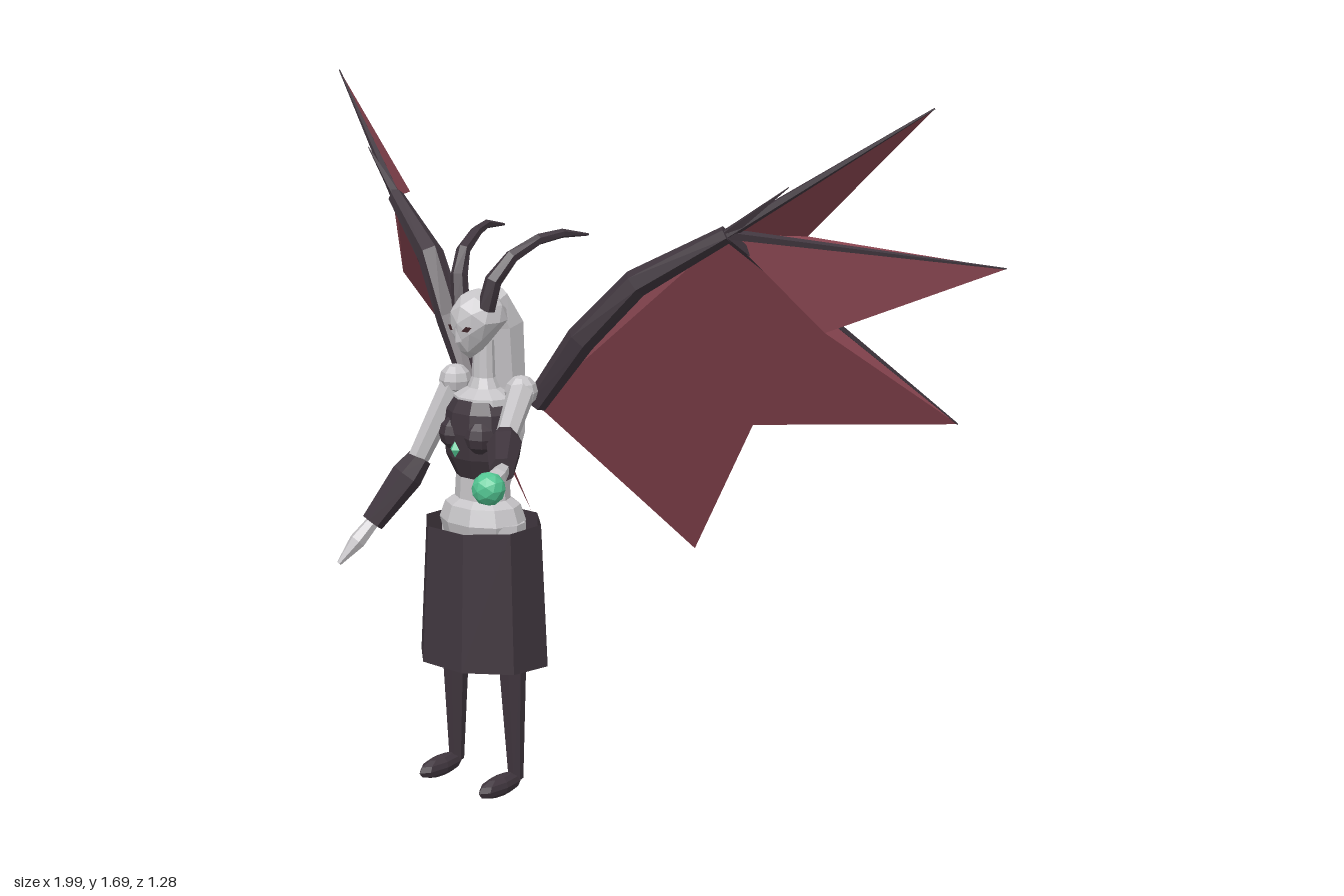
import * as THREE from 'three';

const mat = (name, color, double = false) => {
  const m = new THREE.MeshStandardMaterial({ color, flatShading: true });
  m.name = name;
  if (double) m.side = THREE.DoubleSide;
  return m;
};

// Tapered closed tube through points, one radius per point
function sweep(points, radii, sides = 7) {
  const P = points.map(p => new THREE.Vector3(...p)), pos = [], idx = [];
  P.forEach((p, k) => {
    const t = P[Math.min(k + 1, P.length - 1)].clone().sub(P[Math.max(k - 1, 0)]).normalize();
    const ref = Math.abs(t.x) > 0.9 ? new THREE.Vector3(0, 0, 1) : new THREE.Vector3(1, 0, 0);
    const u = ref.cross(t).normalize(), v = t.clone().cross(u);
    for (let i = 0; i < sides; i++) {
      const a = i / sides * Math.PI * 2;
      const q = p.clone().addScaledVector(u, radii[k] * Math.cos(a)).addScaledVector(v, radii[k] * Math.sin(a));
      pos.push(q.x, q.y, q.z);
    }
  });
  const last = (P.length - 1) * sides, c0 = P.length * sides;
  pos.push(...P[0].toArray(), ...P[P.length - 1].toArray());
  for (let i = 0; i < sides; i++) {
    const j = (i + 1) % sides;
    for (let k = 0; k < P.length - 1; k++) {
      const a = k * sides, b = a + sides;
      idx.push(a + i, a + j, b + j, a + i, b + j, b + i);
    }
    idx.push(c0, j, i, c0 + 1, last + i, last + j);
  }
  const g = new THREE.BufferGeometry();
  g.setAttribute('position', new THREE.Float32BufferAttribute(pos, 3));
  g.setIndex(idx);
  g.computeVertexNormals();
  return g;
}

export function createModel() {
  const model = new THREE.Group();
  const skin = mat('pale skin', 0xc6c4c7);
  const dark = mat('dark leather', 0x40363e);
  const cloth = mat('dark skirt cloth', 0x40363e, true);
  const membraneRed = mat('wing membrane red', 0x87444f, true);
  const green = mat('green gem', 0x52c592);
  const eyeDark = mat('dark eye', 0x3a2024, true);

  const add = (name, geo, m, x = 0, y = 0, z = 0, parent = model) => {
    const mesh = new THREE.Mesh(geo, m);
    mesh.name = name;
    mesh.position.set(x, y, z);
    parent.add(mesh);
    return mesh;
  };
  const lathe = (name, pts, m, z, depth, sides = 10) => {
    const g = new THREE.LatheGeometry(pts.map(p => new THREE.Vector2(...p)), sides, Math.PI / sides);
    g.scale(1, 1, depth);
    return add(name, g, m, 0, 0, z);
  };
  const ball = (r, w = 8, h = 6) => new THREE.SphereGeometry(r, w, h);

  // Torso and corset
  lathe('hips', [[0, 0.62], [0.1, 0.63], [0.115, 0.68], [0.1, 0.72], [0.074, 0.735], [0.07, 0.8], [0.05, 0.82]], skin, 0.15, 0.8);
  lathe('corset', [[0, 0.775], [0.066, 0.79], [0.092, 0.84], [0.097, 0.9], [0.09, 0.95], [0.07, 0.98], [0, 0.985]], dark, 0.155, 0.82);
  lathe('upperChest', [[0.085, 0.94], [0.078, 0.985], [0.042, 1.005], [0.03, 1.03], [0.027, 1.12]], skin, 0.145, 0.85);
  for (const x of [-0.04, 0.04]) add('bust', ball(0.043), dark, x, 0.895, 0.198);
  const brooch = add('brooch', new THREE.OctahedronGeometry(0.02), green, 0, 0.868, 0.247);
  brooch.scale.x = 0.75;
  brooch.scale.z = 0.6;

  // Head with narrow chin
  const headGeo = new THREE.IcosahedronGeometry(0.075, 1);
  const hp = headGeo.attributes.position;
  for (let i = 0; i < hp.count; i++) {
    const y = hp.getY(i), low = Math.max(0, -y / 0.075);
    hp.setXYZ(i, hp.getX(i) * (0.9 - 0.45 * low), y * (1 + 0.2 * low), hp.getZ(i) * (1 - 0.35 * low) + 0.03 * low);
  }
  headGeo.computeVertexNormals();
  add('head', headGeo, skin, 0, 1.17, 0.162);
  const nose = add('nose', new THREE.ConeGeometry(0.011, 0.035, 4), skin, 0, 1.145, 0.237);
  nose.rotation.x = 0.3;

  // Long hair down the back
  const hair = sweep([[0, 1.22, 0.11], [0, 1.15, 0.075], [0, 1.0, 0.06], [0, 0.88, 0.055], [0, 0.72, 0.085]],
    [0.035, 0.05, 0.045, 0.04, 0.015], 6);
  add('hair', hair, skin);

  // Open skirt with a slightly tilted hem
  const skirtGeo = new THREE.CylinderGeometry(0.149, 0.167, 0.352, 8, 1, true, Math.PI / 8);
  const sp = skirtGeo.attributes.position;
  for (let i = 0; i < sp.count; i++) {
    const z = sp.getZ(i) * 0.97;
    sp.setZ(i, z);
    if (sp.getY(i) < 0) sp.setY(i, sp.getY(i) + z * 0.08);
  }
  skirtGeo.computeVertexNormals();
  add('skirt', skirtGeo, cloth, 0, 0.499, 0.148);

  for (const s of [-1, 1]) {
    const side = new THREE.Group();
    side.name = s > 0 ? 'leftSide' : 'rightSide';
    model.add(side);
    const part = (name, pts, radii, m, sides) =>
      add(name, sweep(pts.map(([x, y, z]) => [x * s, y, z]), radii, sides), m, 0, 0, 0, side);

    // Eye plate
    const eye = add('eye', new THREE.CircleGeometry(0.014, 4), eyeDark, s * 0.026, 1.158, 0.232, side);
    eye.scale.y = 0.5;
    eye.rotation.set(0, s * 0.4, s * 0.35);

    // Horn
    part('horn', [[0.04, 1.2, 0.18], [0.055, 1.27, 0.17], [0.078, 1.325, 0.13], [0.1, 1.36, 0.06], [0.122, 1.37, 0], [0.135, 1.36, -0.08]],
      [0.022, 0.021, 0.017, 0.014, 0.011, 0.003], dark, 6);

    // Leg and pointed shoe
    part('thigh', [[0.07, 0.68, 0.15], [0.09, 0.37, 0.15]], [0.052, 0.036], skin);
    part('boot', [[0.09, 0.39, 0.15], [0.095, 0.32, 0.15], [0.1, 0.03, 0.143]], [0.038, 0.034, 0.019], dark);
    const shoe = add('shoe', ball(0.078), dark, s * 0.1, 0.028, 0.2, side);
    shoe.scale.set(0.32, 0.34, 1);

    // Wing bones
    const root = [0.1, 0.965, 0.07], elbow = [0.33, 1.27, -0.02], wrist = [0.53, 1.395, -0.1];
    const tips = [[0.94, 1.69, -0.3], [0.995, 1.31, -0.555], [0.84, 0.905, -0.636], [0.275, 0.548, -0.342]];
    const valleys = [[0.64, 1.383, -0.265], [0.685, 1.16, -0.28], [0.46, 0.9, -0.32]];
    part('wingArm', [root, [0.21, 1.13, 0.035], elbow, wrist], [0.028, 0.036, 0.034, 0.021], dark, 6);
    for (const tip of tips.slice(0, 3)) part('wingFinger', [wrist, tip], [0.014, 0.002], dark, 5);
    part('wingClaw', [wrist, [0.67, 1.51, -0.14]], [0.014, 0.001], dark, 4);

    // Wing membrane, a fan from the wrist
    const rim = [tips[0], valleys[0], tips[1], valleys[1], tips[2], valleys[2], tips[3], root, elbow];
    const verts = [];
    for (let i = 0; i < rim.length - 1; i++)
      for (const [x, y, z] of [wrist, rim[i], rim[i + 1]]) verts.push(x * s, y, z);
    const web = new THREE.BufferGeometry();
    web.setAttribute('position', new THREE.Float32BufferAttribute(verts, 3));
    web.computeVertexNormals();
    add('wingMembrane', web, membraneRed, 0, 0, 0, side);

    // Arm: the left one reaches forward, the right one hangs
    const [sh, el, wr, tip] = s > 0
      ? [[0.107, 1.005, 0.13], [0.235, 0.94, 0.33], [0.37, 0.925, 0.49], [0.42, 0.917, 0.58]]
      : [[0.107, 1.005, 0.13], [0.178, 0.795, 0.2], [0.235, 0.655, 0.295], [0.272, 0.56, 0.375]];
    const mix = (a, b, t) => a.map((v, i) => v + (b[i] - v) * t);
    add('shoulder', ball(0.04), skin, s * sh[0], sh[1], sh[2], side);
    part('upperArm', [sh, el], [0.034, 0.026], skin);
    part('gauntlet', [mix(el, wr, -0.12), mix(el, wr, 0.2), wr], [0.03, 0.041, 0.029], dark);
    part('hand', [mix(wr, tip, -0.1), mix(wr, tip, 0.45), tip], [0.016, 0.021, 0.006], skin, 6);
  }

  // Orb held by the left hand
  add('orb', new THREE.IcosahedronGeometry(0.037, 1), green, 0.432, 0.916, 0.602);
  return model;
}
